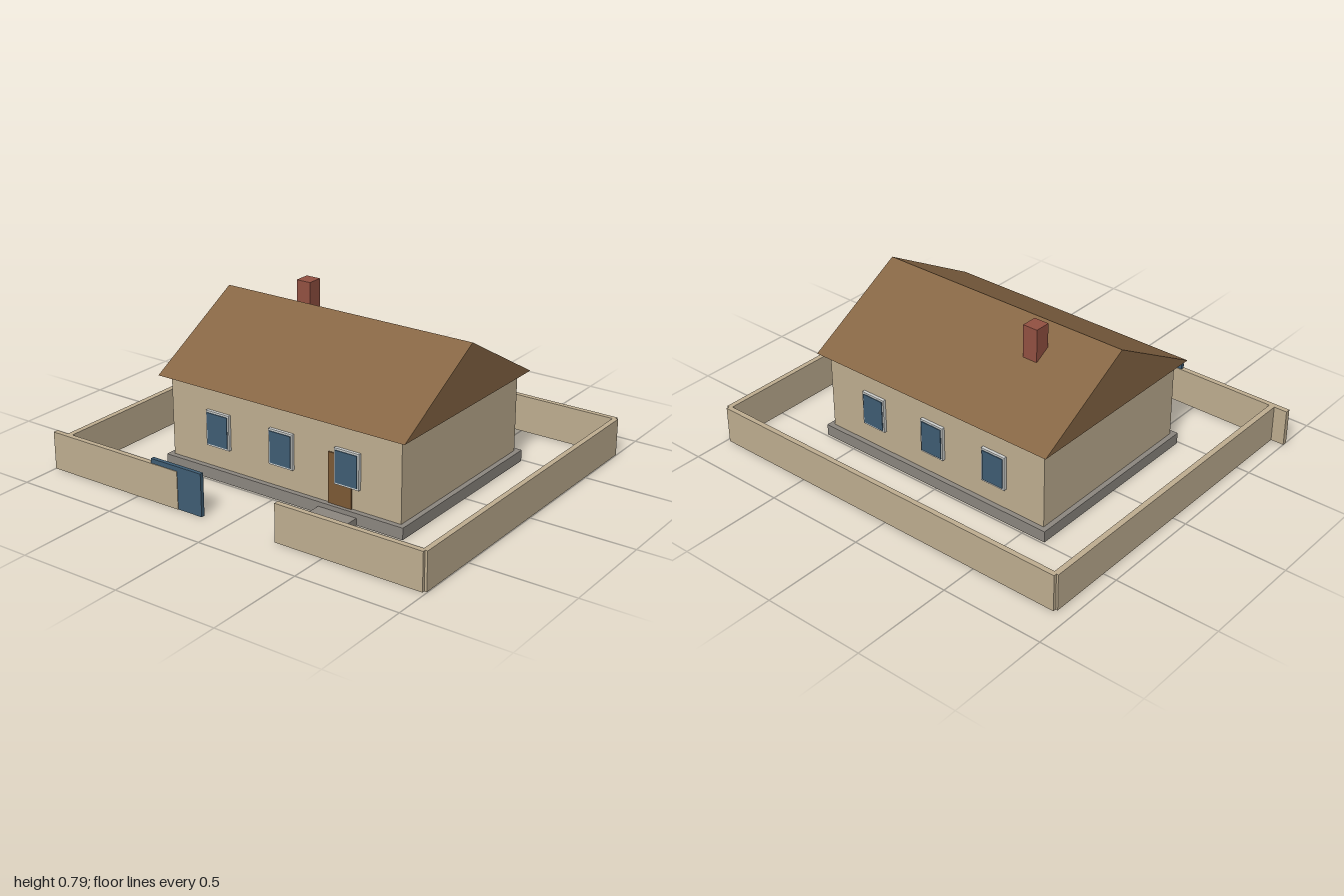
import * as THREE from 'three';

export function createModel() {
  const group = new THREE.Group();
  const mat = (name, color) => {
    const m = new THREE.MeshStandardMaterial({ color });
    m.name = name;
    return m;
  };
  const plaster = mat('plaster', 0xbfae91);
  const roofBrown = mat('roof brown', 0x866644);
  const stone = mat('stone grey', 0x8c8780);
  const brick = mat('brick red', 0x935142);
  const blue = mat('blue', 0x3f5d74);
  const trim = mat('window trim', 0xd0d2d0);
  const doorBrown = mat('door brown', 0x7d5a35);

  // Box given by its extents on each axis
  const box = (name, material, [x0, x1], [y0, y1], [z0, z1]) => {
    const mesh = new THREE.Mesh(new THREE.BoxGeometry(x1 - x0, y1 - y0, z1 - z0), material);
    mesh.position.set((x0 + x1) / 2, (y0 + y1) / 2, (z0 + z1) / 2);
    mesh.name = name;
    group.add(mesh);
    return mesh;
  };

  // House body, foundation and doorstep
  box('foundation', stone, [-0.615, 0.675], [0, 0.055], [-0.49, 0.49]);
  box('houseWalls', plaster, [-0.59, 0.65], [0.055, 0.445], [-0.465, 0.465]);
  box('doorstep', stone, [0.24, 0.44], [0, 0.033], [0.48, 0.575]);
  box('door', doorBrown, [0.28, 0.40], [0.055, 0.293], [0.46, 0.472]);

  // Gable roof, a closed prism along x
  const gable = new THREE.Shape([
    new THREE.Vector2(-0.51, 0.442),
    new THREE.Vector2(0.51, 0.442),
    new THREE.Vector2(0, 0.73),
  ]);
  const roofGeometry = new THREE.ExtrudeGeometry(gable, { depth: 1.32, bevelEnabled: false });
  roofGeometry.rotateY(Math.PI / 2).translate(-0.63, 0, 0);
  const roof = new THREE.Mesh(roofGeometry, roofBrown);
  roof.name = 'roof';
  group.add(roof);

  box('chimney', brick, [-0.315, -0.24], [0.58, 0.788], [-0.18, -0.103]);

  // Three windows on the front and three on the back
  for (const side of [1, -1]) {
    for (const x of [-0.32, 0.03, 0.38]) {
      const zs = (a, b) => (side > 0 ? [a, b] : [-b, -a]);
      box('windowFrame', trim, [x - 0.064, x + 0.064], [0.156, 0.324], zs(0.46, 0.48));
      box('windowPane', blue, [x - 0.056, x + 0.056], [0.165, 0.315], zs(0.478, 0.484));
    }
  }

  // Yard walls
  const h = [0, 0.18];
  box('backYardWall', plaster, [-0.925, 0.985], h, [-0.82, -0.795]);
  box('rightYardWall', plaster, [-0.935, -0.908], h, [-0.805, 0.803]);
  box('leftYardWall', plaster, [0.972, 0.997], h, [-0.805, 0.803]);
  box('frontYardWallRight', plaster, [-1, -0.27], h, [0.791, 0.816]);
  box('frontYardWallLeft', plaster, [0.257, 0.985], h, [0.791, 0.816]);

  // Sliding gate, partly housed in the wall
  box('slidingGate', blue, [-0.418, -0.14], [0, 0.202], [0.794, 0.813]);

  return group;
}
